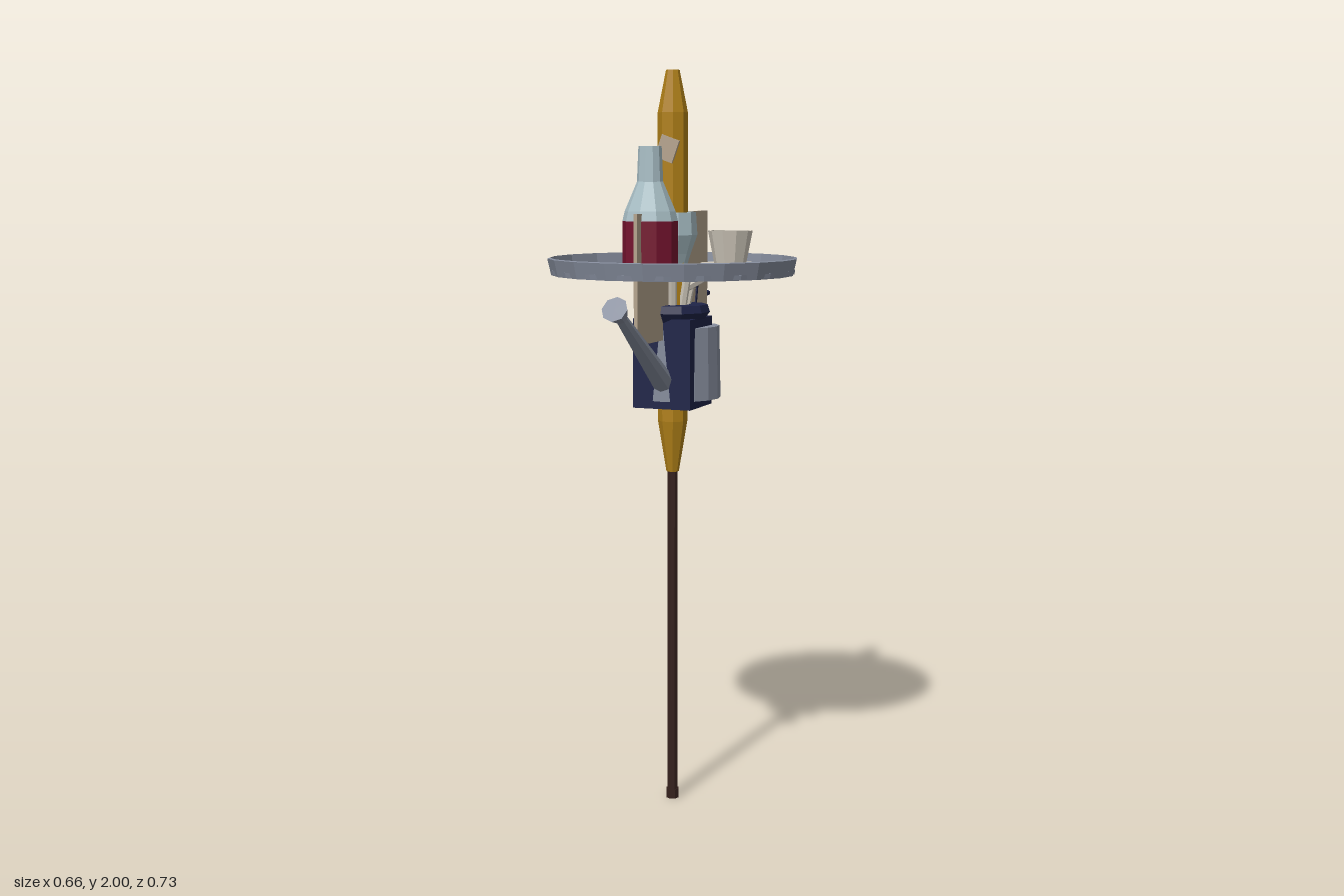
import * as THREE from 'three';

const AXIS = -0.035; // z of the central shaft

export function createModel() {
  const root = new THREE.Group();
  const mat = (color) => new THREE.MeshStandardMaterial({ color, flatShading: true, side: THREE.DoubleSide });
  const gold = mat(0xb08018), steel = mat(0x858c9c), navy = mat(0x1f2448), crimson = mat(0x76142f);
  const glass = mat(0xa9bfc6), card = mat(0xb5a48e), china = mat(0xcfc8bb), coffee = mat(0x45291f), wood = mat(0x35211d);

  const add = (name, geo, material, x = 0, y = 0, z = AXIS, parent = root) => {
    const m = new THREE.Mesh(geo, material);
    m.name = name;
    m.position.set(x, y, z);
    parent.add(m);
    return m;
  };
  const lathe = (pts, sides, turn = 0) =>
    new THREE.LatheGeometry(pts.map(([r, y]) => new THREE.Vector2(r, y)), sides, turn);
  // Straight tapered rod between two points
  const rod = (name, a, b, ra, rb, sides, material) => {
    const A = new THREE.Vector3(...a), B = new THREE.Vector3(...b);
    const d = B.clone().sub(A), mid = A.clone().add(B).multiplyScalar(0.5);
    const m = add(name, new THREE.CylinderGeometry(rb, ra, d.length(), sides), material, mid.x, mid.y, mid.z);
    m.quaternion.setFromUnitVectors(new THREE.Vector3(0, 1, 0), d.normalize());
    return m;
  };

  // Pole, foot and tapered shaft
  add('pole', new THREE.CylinderGeometry(0.015, 0.015, 0.94, 8), wood, 0, 0.47);
  add('poleFoot', new THREE.CylinderGeometry(0.018, 0.018, 0.026, 8), wood, 0, 0.013);
  add('shaft', lathe([[0, 0.93], [0.017, 0.93], [0.04, 1.07], [0.04, 1.89], [0.018, 2], [0, 2]], 8, Math.PI / 8), gold);

  // Round tray: floor disc and raised rim
  add('trayFloor', new THREE.CylinderGeometry(0.327, 0.325, 0.012, 20), steel, 0, 1.472);
  add('trayRim', lathe([[0.325, 1.464], [0.335, 1.508], [0.328, 1.51], [0.322, 1.468]], 20, Math.PI / 20), steel);

  // Sleeve, cuff and gloved fingers carrying the tray
  add('sleeve', new THREE.BoxGeometry(0.164, 0.24, 0.16), navy, 0, 1.23);
  add('cuff', lathe([[0, 1.34], [0.082, 1.34], [0.1, 1.365], [0.094, 1.385], [0, 1.385]], 10), navy);
  for (let i = 0; i < 8; i++) {
    const a = ((i + 0.5) / 8) * Math.PI * 2, c = Math.cos(a), s = Math.sin(a);
    rod('finger', [c * 0.035, 1.37, AXIS + s * 0.035], [c * 0.056, 1.47, AXIS + s * 0.056], 0.011, 0.011, 6, china);
  }
  rod('thumb', [0.03, 1.425, AXIS], [0.105, 1.465, AXIS], 0.012, 0.011, 6, china);

  // Watering can: body, spout, rose and back handle
  add('canBody', new THREE.CylinderGeometry(0.114, 0.118, 0.195, 16), steel, 0, 1.228, -0.068);
  rod('canSpout', [0, 1.18, 0.03], [0, 1.385, 0.325], 0.03, 0.014, 8, steel);
  rod('canRose', [0, 1.37, 0.302], [0, 1.398, 0.348], 0.014, 0.035, 8, steel);
  const grip = [[0, 1.31, -0.1], [0, 1.44, -0.1], [0, 1.425, -0.2], [0, 1.31, -0.175]];
  for (let i = 0; i < 3; i++) rod('canHandle', grip[i], grip[i + 1], 0.009, 0.009, 6, navy);

  // Upright card with a dark inset, and the stick behind it
  add('card', new THREE.BoxGeometry(0.01, 0.335, 0.497), card, 0, 1.462, -0.032);
  add('cardInset', new THREE.BoxGeometry(0.004, 0.25, 0.41), navy, -0.006, 1.47, -0.035);
  rod('stick', [-0.02, 1.395, -0.1], [-0.02, 1.395, -0.35], 0.008, 0.008, 6, navy);

  // Tilted tag on the shaft
  add('tag', new THREE.BoxGeometry(0.052, 0.062, 0.008), card, 0, 1.795, 0.003).rotation.z = -0.35;

  // Glass around the shaft with its drink
  add('glassBowl', lathe([[0.035, 1.478], [0.048, 1.52], [0.066, 1.57], [0.062, 1.63], [0.056, 1.63], [0.058, 1.57]], 10), glass);
  add('glassDrink', new THREE.CylinderGeometry(0.057, 0.05, 0.06, 10), crimson, 0, 1.565);

  // Bottle
  add('bottleLabel', new THREE.CylinderGeometry(0.072, 0.072, 0.132, 10), crimson, 0, 1.544, 0.12);
  add('bottleTop', lathe([[0.072, 1.61], [0.066, 1.635], [0.034, 1.71], [0.03, 1.8], [0, 1.8]], 10), glass, 0, 0, 0.12);

  // Two cups of coffee on saucers
  for (const [x, z] of [[-0.1, -0.168], [0.133, -0.118]]) {
    const set = new THREE.Group();
    set.name = 'cupAndSaucer';
    set.position.set(x, 1.478, z);
    root.add(set);
    add('saucer', lathe([[0, 0], [0.05, 0], [0.082, 0.016], [0.05, 0.008], [0, 0.008]], 12), china, 0, 0, 0, set);
    add('cup', lathe([[0, 0.008], [0.042, 0.008], [0.06, 0.102], [0.056, 0.102], [0.054, 0.09]], 10), china, 0, 0, 0, set);
    add('coffee', new THREE.CylinderGeometry(0.056, 0.05, 0.02, 10), coffee, 0, 0.086, 0, set);
  }
  return root;
}
